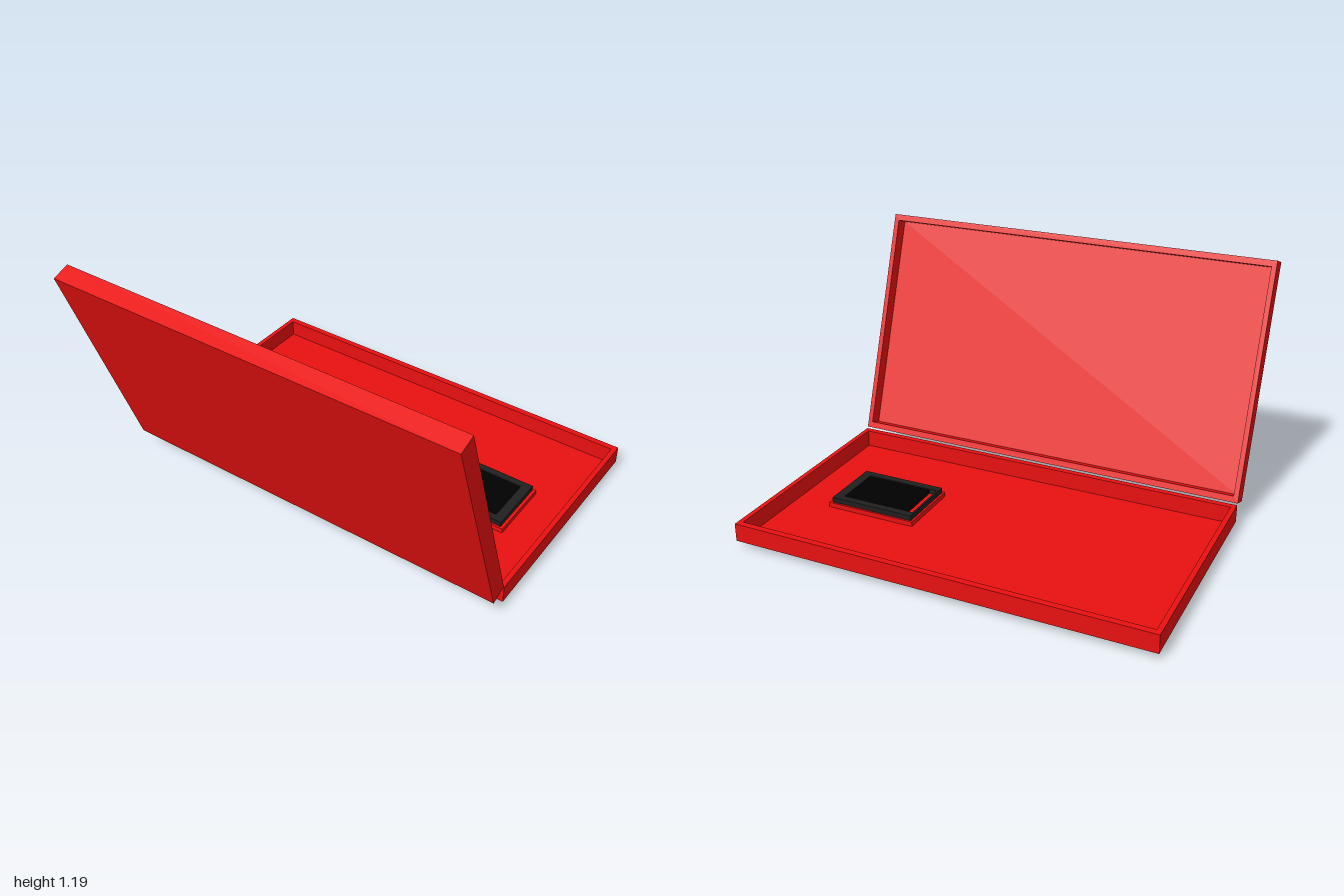
import * as THREE from 'three';

const red = new THREE.MeshStandardMaterial({ color: 0xe81010 });
const charcoal = new THREE.MeshStandardMaterial({ color: 0x202020 });
const black = new THREE.MeshStandardMaterial({ color: 0x000000 });

const LENGTH = 1.128, WIDTH = 2, HEIGHT = 0.087, RIM_X = 0.03, RIM_Z = 0.024;

// Box given by its min and max corners
function box(name, material, [x0, y0, z0], [x1, y1, z1]) {
  const mesh = new THREE.Mesh(new THREE.BoxGeometry(x1 - x0, y1 - y0, z1 - z0), material);
  mesh.position.set((x0 + x1) / 2, (y0 + y1) / 2, (z0 + z1) / 2);
  mesh.name = name;
  return mesh;
}

// Counter-clockwise outline, so that the walls of holes face inwards
function rectangle(target, x0, z0, x1, z1) {
  target.moveTo(x0, -z1);
  target.lineTo(x1, -z1);
  target.lineTo(x1, -z0);
  target.lineTo(x0, -z0);
  target.closePath();
  return target;
}

// Upright frame: outer and inner are [x0, z0, x1, z1], standing from y to y + height
function frame(name, material, outer, inner, y, height) {
  const shape = rectangle(new THREE.Shape(), ...outer);
  shape.holes.push(rectangle(new THREE.Path(), ...inner));
  const geometry = new THREE.ExtrudeGeometry(shape, { depth: height, bevelEnabled: false });
  geometry.rotateX(-Math.PI / 2);
  const mesh = new THREE.Mesh(geometry, material);
  mesh.position.y = y;
  mesh.name = name;
  return mesh;
}

// Shallow tray centred on its rim; the panel lies between panelBottom and panelTop
function tray(name, panelBottom, panelTop) {
  const group = new THREE.Group();
  group.name = name;
  const x = LENGTH / 2, z = WIDTH / 2, ix = x - RIM_X, iz = z - RIM_Z;
  group.add(
    frame(name + 'Rim', red, [-x, -z, x, z], [-ix, -iz, ix, iz], -HEIGHT / 2, HEIGHT),
    box(name + 'Panel', red, [-ix, panelBottom, -iz], [ix, panelTop, iz])
  );
  return group;
}

export function createModel() {
  const model = new THREE.Group();
  model.name = 'openCase';

  // Bottom tray, its floor panel standing slightly proud underneath
  const base = tray('base', -0.0515, -0.04);
  base.position.set(0.23, 0.0765, 0);
  model.add(base);

  // Lid, leaning back with its hollow side towards the base
  const lid = tray('lid', -HEIGHT / 2, -HEIGHT / 2 + 0.022);
  lid.position.set(-0.5665, 0.645, 0);
  lid.rotation.z = THREE.MathUtils.degToRad(-70.6);
  model.add(lid);

  // Display unit set through the floor
  const display = new THREE.Group();
  display.name = 'display';
  display.add(
    box('displayMount', red, [0.027, 0, 0.342], [0.352, 0.06, 0.793]),
    frame('displayBezel', charcoal, [0.038, 0.352, 0.343, 0.778], [0.073, 0.362, 0.308, 0.733], 0.06, 0.025),
    box('displayScreen', black, [0.073, 0.06, 0.403], [0.308, 0.08, 0.733])
  );
  model.add(display);

  return model;
}
